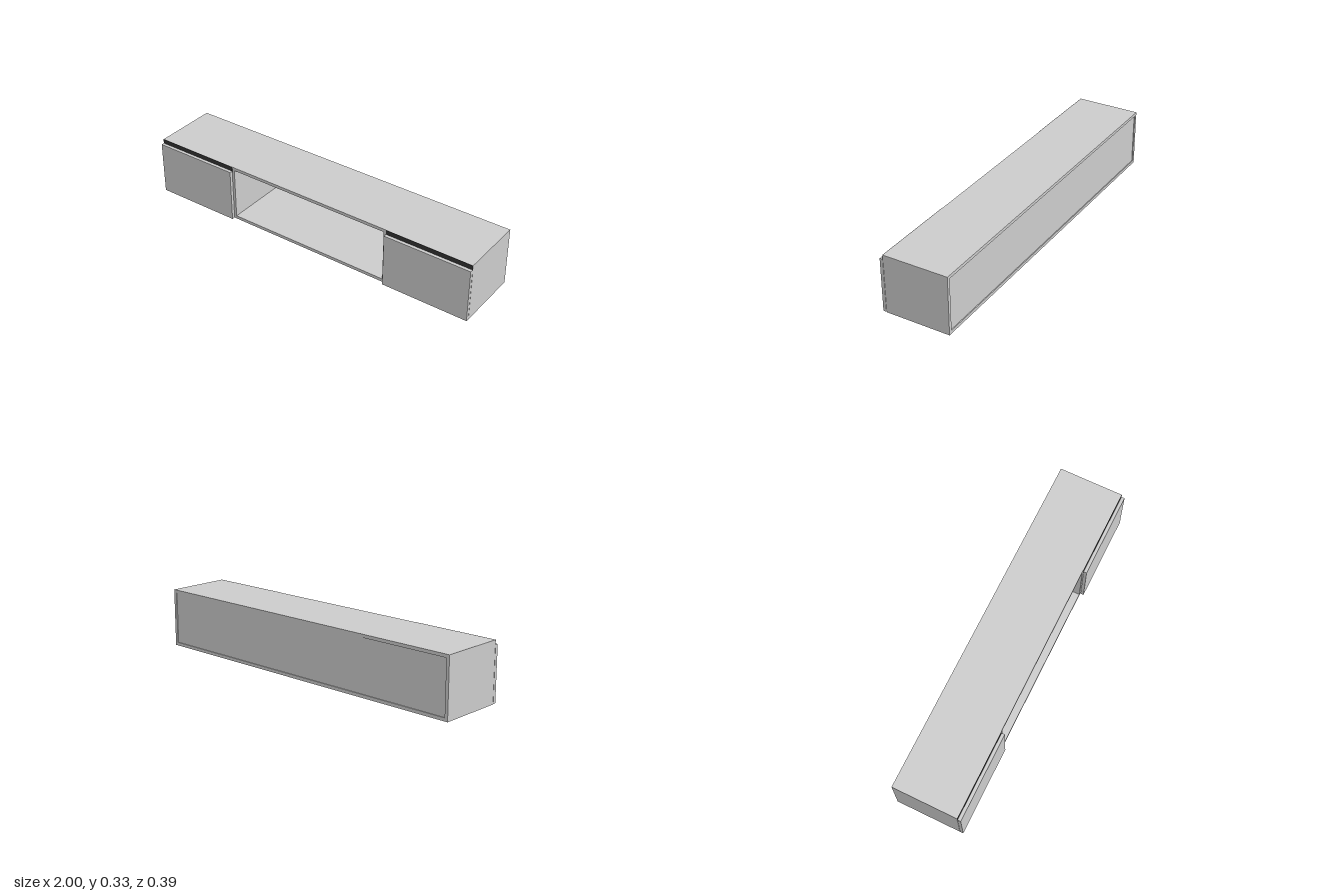
import * as THREE from 'three';

export function createModel() {
  const group = new THREE.Group();
  const grey = new THREE.MeshStandardMaterial({ color: 0xcccccc });
  const dark = new THREE.MeshStandardMaterial({ color: 0x333333 });

  // Box given by its limits on each axis
  const panel = (name, [x0, x1], [y0, y1], [z0, z1], material = grey) => {
    const mesh = new THREE.Mesh(new THREE.BoxGeometry(x1 - x0, y1 - y0, z1 - z0), material);
    mesh.position.set((x0 + x1) / 2, (y0 + y1) / 2, (z0 + z1) / 2);
    mesh.name = name;
    group.add(mesh);
  };

  const T = 0.018; // board thickness
  const H = 0.333; // overall height
  const back = -0.194, front = 0.174;
  const depth = [back, front];

  // Carcass: top board over the sides, bottom board between them
  panel('topPanel', [-1, 1], [H - T, H], depth);
  panel('bottomPanel', [-1 + T, 1 - T], [0, T], depth);
  panel('backPanel', [-1 + T, 1 - T], [T, H - T], [back + 0.005, back + 0.009]);

  // Mirrored end boards, dividers, doors and dark grip strips
  for (const [side, s] of [['left', 1], ['right', -1]]) {
    const span = (a, b) => (s > 0 ? [a, b] : [-b, -a]);
    panel(side + 'SidePanel', span(1 - T, 1), [0, H - T], depth);
    panel(side + 'Divider', span(0.486, 0.486 + T), [T, H - T], [back + 0.009, front]);
    panel(side + 'Door', span(0.5, 1), [0.002, 0.308], [0.176, 0.194]);
    panel(side + 'GripStrip', span(0.5, 1), [0.3, H], [front, 0.176], dark);
  }
  return group;
}
